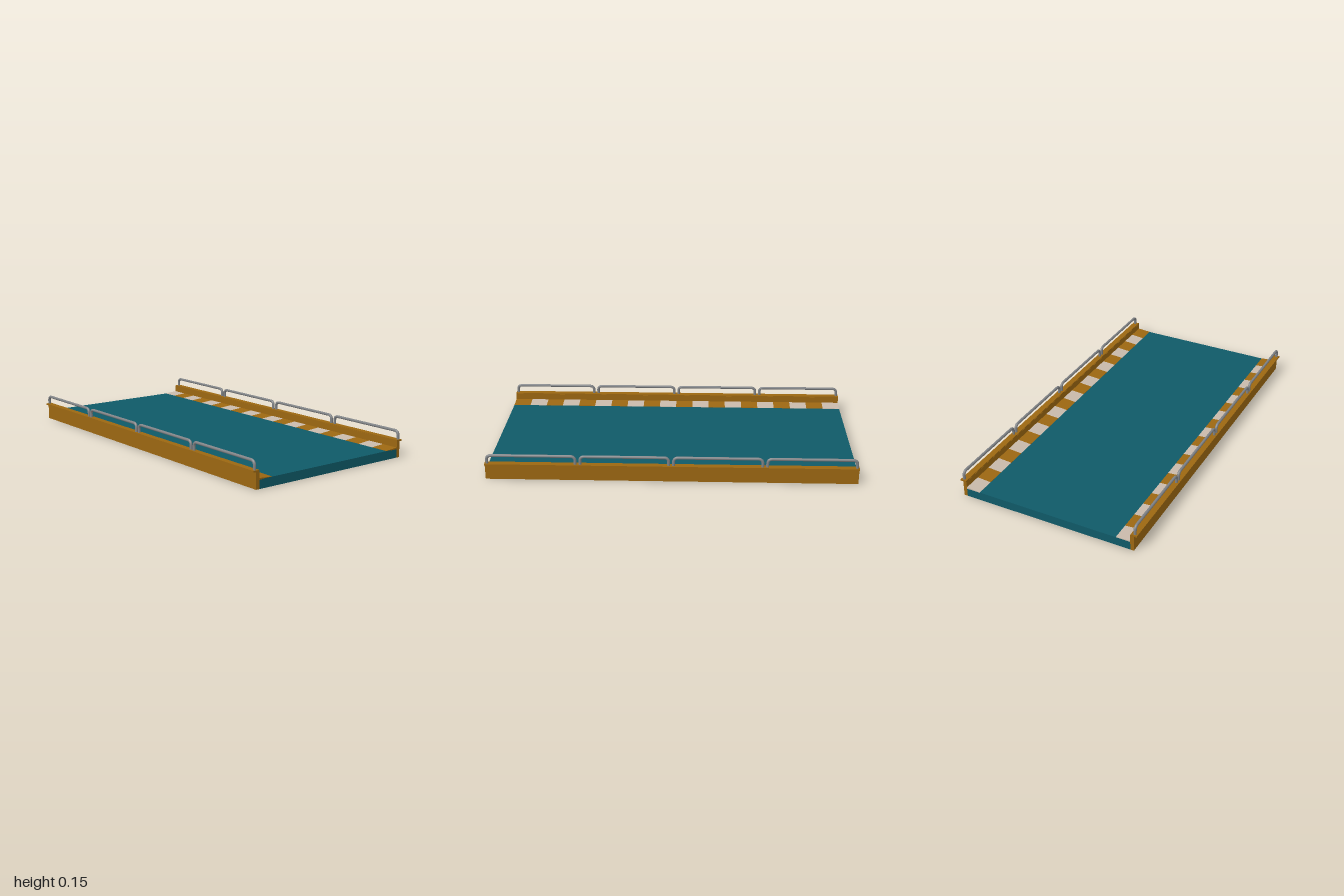
import * as THREE from 'three';

const mat = (color) => new THREE.MeshStandardMaterial({ color });

export function createModel() {
  const group = new THREE.Group();
  const teal = mat(0x0f5a68), orange = mat(0x9c6711), cream = mat(0xc8b9aa), metal = mat(0x808386);

  const add = (parent, name, geometry, material, x = 0, y = 0, z = 0) => {
    const mesh = new THREE.Mesh(geometry, material);
    mesh.name = name;
    mesh.position.set(x, y, z);
    parent.add(mesh);
    return mesh;
  };

  // Road deck
  add(group, 'deck', new THREE.BoxGeometry(0.96, 0.048, 2), teal, 0, 0.024, 0);

  // Wedge-shaped kerb tile cross-section, mirrored by side
  const kerbTile = (s) => {
    const pts = [[0.4, 0.046], [0.48, 0.046], [0.48, 0.055], [0.4, 0.049]];
    const shape = new THREE.Shape(pts.map(([x, y]) => new THREE.Vector2(s * x, y)));
    return new THREE.ExtrudeGeometry(shape, { depth: 0.1, bevelEnabled: false });
  };

  // Handrail hoop: two posts joined by a long bar with rounded corners
  const v = (y, z) => new THREE.Vector3(0, y, z);
  const half = 0.237, top = 0.14, base = 0.09, r = 0.025;
  const path = new THREE.CurvePath();
  path.add(new THREE.LineCurve3(v(base, -half), v(top - r, -half)));
  path.add(new THREE.QuadraticBezierCurve3(v(top - r, -half), v(top, -half), v(top, -half + r)));
  path.add(new THREE.LineCurve3(v(top, -half + r), v(top, half - r)));
  path.add(new THREE.QuadraticBezierCurve3(v(top, half - r), v(top, half), v(top - r, half)));
  path.add(new THREE.LineCurve3(v(top - r, half), v(base, half)));
  const hoop = new THREE.TubeGeometry(path, 80, 0.008, 10);

  for (const s of [-1, 1]) {
    const side = new THREE.Group();
    side.name = s > 0 ? 'leftSide' : 'rightSide';
    group.add(side);

    // Side wall and its cap
    add(side, 'sideWall', new THREE.BoxGeometry(0.02, 0.09, 2), orange, s * 0.49, 0.045, 0);
    add(side, 'wallCap', new THREE.BoxGeometry(0.035, 0.008, 2), orange, s * 0.4985, 0.091, 0);

    // Alternating warning stripes
    const tile = kerbTile(s);
    for (let i = 0; i < 20; i++) {
      add(side, 'kerbStripe', tile, i % 2 ? orange : cream, 0, 0, -1 + i * 0.1);
    }

    // Four handrail hoops
    for (let i = 0; i < 4; i++) {
      add(side, 'handrail', hoop, metal, s * 0.5, 0, -0.75 + i * 0.5);
    }
  }
  return group;
}
